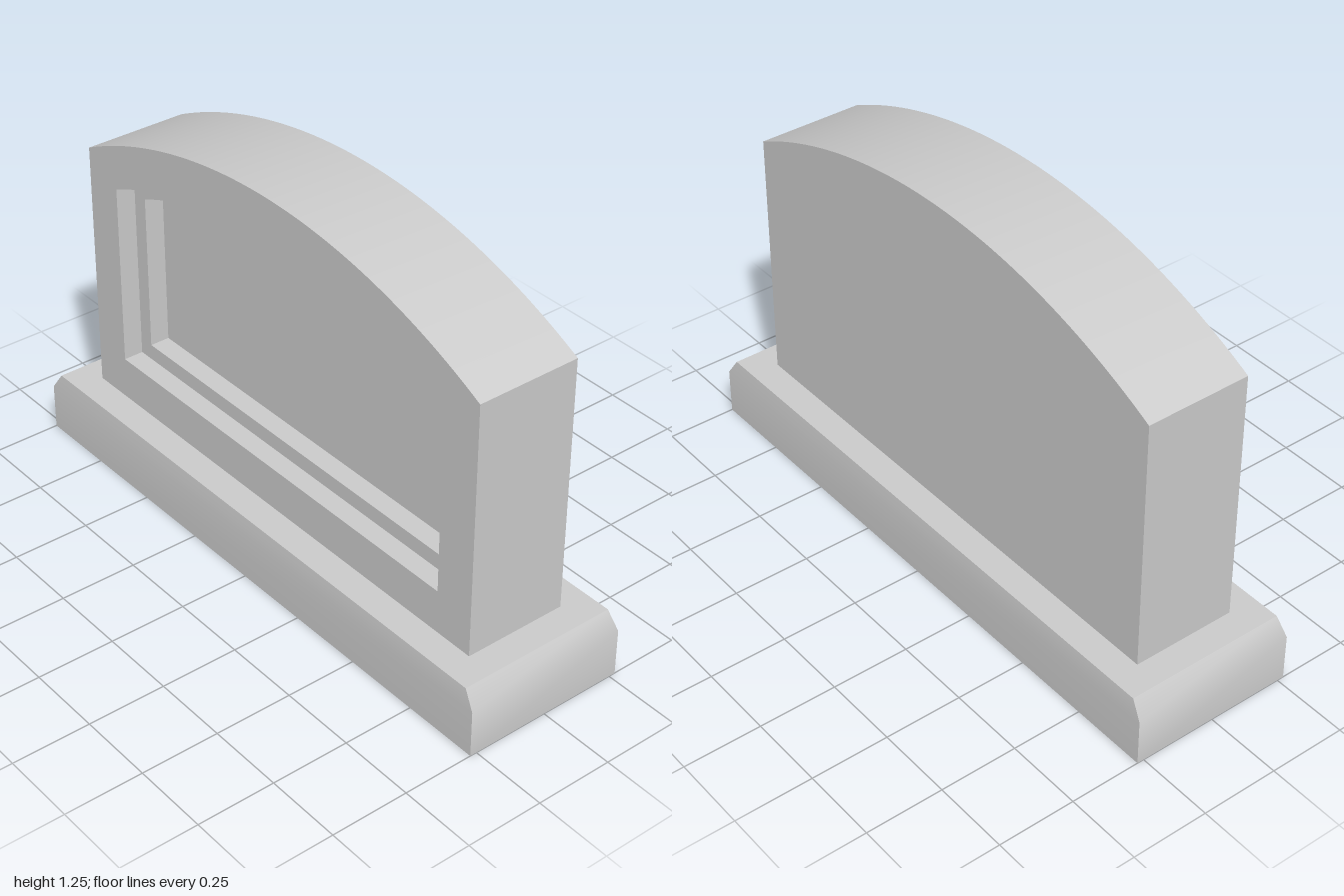
import * as THREE from 'three';
import { toCreasedNormals } from 'three/addons/utils/BufferGeometryUtils.js';

const material = new THREE.MeshStandardMaterial({ color: 0xcccccc });
const ARC_CENTRE = -0.66; // all arches share one centre

// Upright panel outline with an arched top, counter-clockwise
function archOutline(halfWidth, bottom, top) {
  const radius = top - ARC_CENTRE;
  const start = Math.acos(halfWidth / radius);
  const shape = new THREE.Shape();
  shape.moveTo(-halfWidth, bottom);
  shape.lineTo(halfWidth, bottom);
  shape.absarc(0, ARC_CENTRE, radius, start, Math.PI - start, false);
  shape.closePath();
  return shape;
}

// Strip of wall along an outline; zFrom < zTo faces outwards, otherwise inwards
function wallGeometry(shape, zFrom, zTo) {
  const points = shape.getPoints(32);
  const positions = [];
  for (let i = 0; i < points.length; i++) {
    const a = points[i];
    const b = points[(i + 1) % points.length];
    if (a.distanceTo(b) < 1e-6) continue;
    positions.push(a.x, a.y, zFrom, b.x, b.y, zFrom, b.x, b.y, zTo);
    positions.push(a.x, a.y, zFrom, b.x, b.y, zTo, a.x, a.y, zTo);
  }
  const geometry = new THREE.BufferGeometry();
  geometry.setAttribute('position', new THREE.Float32BufferAttribute(positions, 3));
  return toCreasedNormals(geometry, 0.4);
}

// Flat face of an outline, optionally with an opening
function faceGeometry(shape, z, opening) {
  const face = shape.clone();
  if (opening) face.holes.push(opening);
  return new THREE.ShapeGeometry(face, 32).translate(0, 0, z);
}

// Plinth with bevelled upper edges
function plinthGeometry() {
  const geometry = new THREE.BoxGeometry(2, 0.21, 0.544, 1, 2, 1).translate(0, 0.105, 0);
  const p = geometry.attributes.position;
  for (let i = 0; i < p.count; i++) {
    const y = p.getY(i);
    if (y > 0.2) {
      p.setX(i, Math.sign(p.getX(i)) * 0.962);
      p.setZ(i, Math.sign(p.getZ(i)) * 0.264);
    } else if (y > 0.05) {
      p.setY(i, 0.153);
    }
  }
  return toCreasedNormals(geometry, 0.7);
}

export function createModel() {
  const model = new THREE.Group();
  const add = (name, geometry, parent = model) => {
    const mesh = new THREE.Mesh(geometry, material);
    mesh.name = name;
    parent.add(mesh);
    return mesh;
  };

  add('plinth', plinthGeometry());

  const headstone = new THREE.Group();
  headstone.name = 'headstone';
  model.add(headstone);

  const front = 0.17, ledge = 0.105, panel = 0.04;
  const body = archOutline(0.87, 0.21, 1.246);
  const outerRecess = archOutline(0.735, 0.35, 1.112);
  const innerRecess = archOutline(0.683, 0.402, 1.06);

  // Solid body
  add('bodySides', wallGeometry(body, -front, front), headstone);
  add('frontFrame', faceGeometry(body, front, outerRecess), headstone);
  add('backFace', faceGeometry(body, front).rotateY(Math.PI), headstone);

  // Two stepped recesses in the front
  add('outerRecessWalls', wallGeometry(outerRecess, front, ledge), headstone);
  add('recessLedge', faceGeometry(outerRecess, ledge, innerRecess), headstone);
  add('innerRecessWalls', wallGeometry(innerRecess, ledge, panel), headstone);
  add('recessedPanel', faceGeometry(innerRecess, panel), headstone);

  return model;
}
